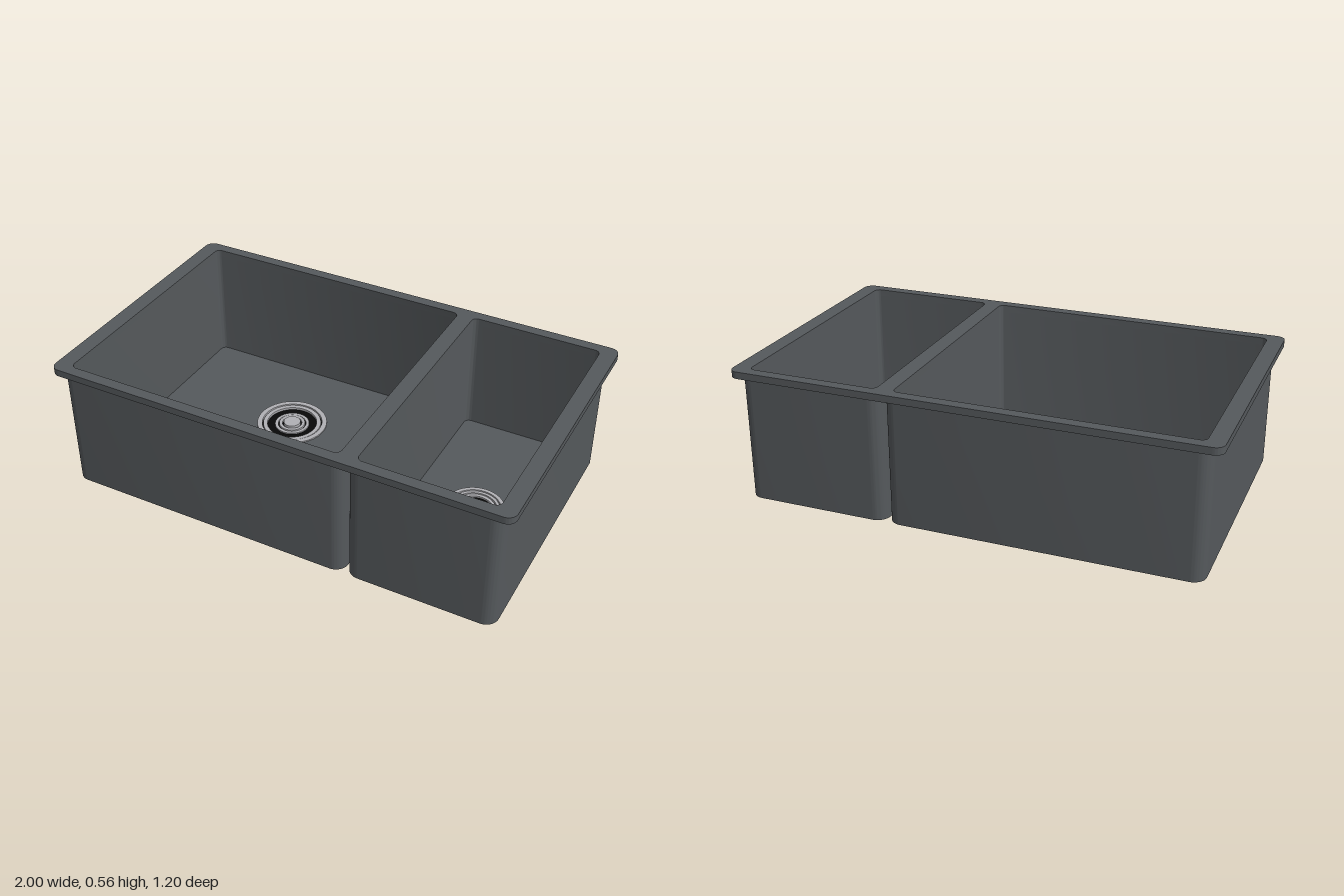
import * as THREE from 'three';
import { toCreasedNormals } from 'three/addons/utils/BufferGeometryUtils.js';

const steel = new THREE.MeshStandardMaterial({ name: 'dark sink grey', color: 0x55595c });
const metal = new THREE.MeshStandardMaterial({ name: 'drain metal', color: 0xb0b0b4 });
const black = new THREE.MeshStandardMaterial({ name: 'drain black', color: 0x080808 });

const RIM_Y = 0.53, TOP_Y = 0.56, FLOOR_Y = 0.02, WALL = 0.03;

// Rounded rectangle in plan; works as a Shape or a hole Path
function roundedRect(path, x0, x1, hz, r) {
  path.moveTo(x0 + r, -hz);
  path.lineTo(x1 - r, -hz);
  path.absarc(x1 - r, -hz + r, r, -Math.PI / 2, 0);
  path.lineTo(x1, hz - r);
  path.absarc(x1 - r, hz - r, r, 0, Math.PI / 2);
  path.lineTo(x0 + r, hz);
  path.absarc(x0 + r, hz - r, r, Math.PI / 2, Math.PI);
  path.lineTo(x0, -hz + r);
  path.absarc(x0 + r, -hz + r, r, Math.PI, Math.PI * 1.5);
  return path;
}

// Extrude a plan shape upward from y0 to y1
function slab(name, shape, y0, y1) {
  let geo = new THREE.ExtrudeGeometry(shape, { depth: y1 - y0, bevelEnabled: false, curveSegments: 12 });
  geo.rotateX(-Math.PI / 2);
  geo.translate(0, y0, 0);
  const mesh = new THREE.Mesh(toCreasedNormals(geo, Math.PI / 5), steel);
  mesh.name = name;
  return mesh;
}

// Closed metal ring of rectangular section
function ring(name, r0, r1, y0, y1) {
  const pts = [[r0, y0], [r1, y0], [r1, y1], [r0, y1], [r0, y0]].map(p => new THREE.Vector2(...p));
  const geo = toCreasedNormals(new THREE.LatheGeometry(pts, 48), Math.PI / 5);
  const mesh = new THREE.Mesh(geo, metal);
  mesh.name = name;
  return mesh;
}

function disc(name, r, y0, y1, material) {
  const geo = new THREE.CylinderGeometry(r, r, y1 - y0, 48);
  geo.translate(0, (y0 + y1) / 2, 0);
  const mesh = new THREE.Mesh(geo, material);
  mesh.name = name;
  return mesh;
}

// Drain: black cup, stepped flange rings, strainer basket and knob
function drain(name, { x, z, r, flange, basket }) {
  const g = new THREE.Group();
  g.name = name;
  g.position.set(x, 0, z);
  g.add(disc('drainCup', r * 0.97, 0, 0.012, black));
  flange.forEach(([a, b], i) => g.add(ring('flangeRing', a * r, b * r, 0.01, 0.026 - i * 0.003)));
  basket.forEach(([a, b], i) => g.add(ring('basketRing', a * r, b * r, 0.01, 0.018 + i * 0.003)));
  g.add(disc('strainerKnob', 0.24 * r, 0.01, 0.028, metal));
  return g;
}

const bowls = [
  {
    name: 'largeBowl', x0: -0.96, x1: 0.325,
    drain: { x: -0.32, z: -0.16, r: 0.157, flange: [[0.86, 1], [0.71, 0.83]], basket: [[0.4, 0.49], [0.28, 0.37]] },
  },
  {
    name: 'smallBowl', x0: 0.336, x1: 0.96,
    drain: { x: 0.64, z: 0, r: 0.125, flange: [[0.87, 1], [0.74, 0.84], [0.6, 0.71]], basket: [[0.28, 0.39]] },
  },
];

export function createModel() {
  const sink = new THREE.Group();
  sink.name = 'doubleSink';
  const rim = roundedRect(new THREE.Shape(), -1, 1, 0.6, 0.04);

  for (const b of bowls) {
    const g = new THREE.Group();
    g.name = b.name;
    const opening = () => roundedRect(new THREE.Path(), b.x0 + WALL, b.x1 - WALL, 0.553, 0.025);
    rim.holes.push(opening());

    // Walls
    const walls = roundedRect(new THREE.Shape(), b.x0, b.x1, 0.583, 0.055);
    walls.holes.push(opening());
    g.add(slab('bowlWalls', walls, 0, RIM_Y));

    // Floor with drain hole
    const floor = roundedRect(new THREE.Shape(), b.x0 + WALL, b.x1 - WALL, 0.553, 0.025);
    const d = b.drain;
    floor.holes.push(new THREE.Path().absarc(d.x, -d.z, d.r * 0.97, 0, Math.PI * 2));
    g.add(slab('bowlFloor', floor, 0, FLOOR_Y));

    g.add(drain('drain', d));
    sink.add(g);
  }

  // Flat rim joining both bowls
  sink.add(slab('rim', rim, RIM_Y, TOP_Y));
  return sink;
}
